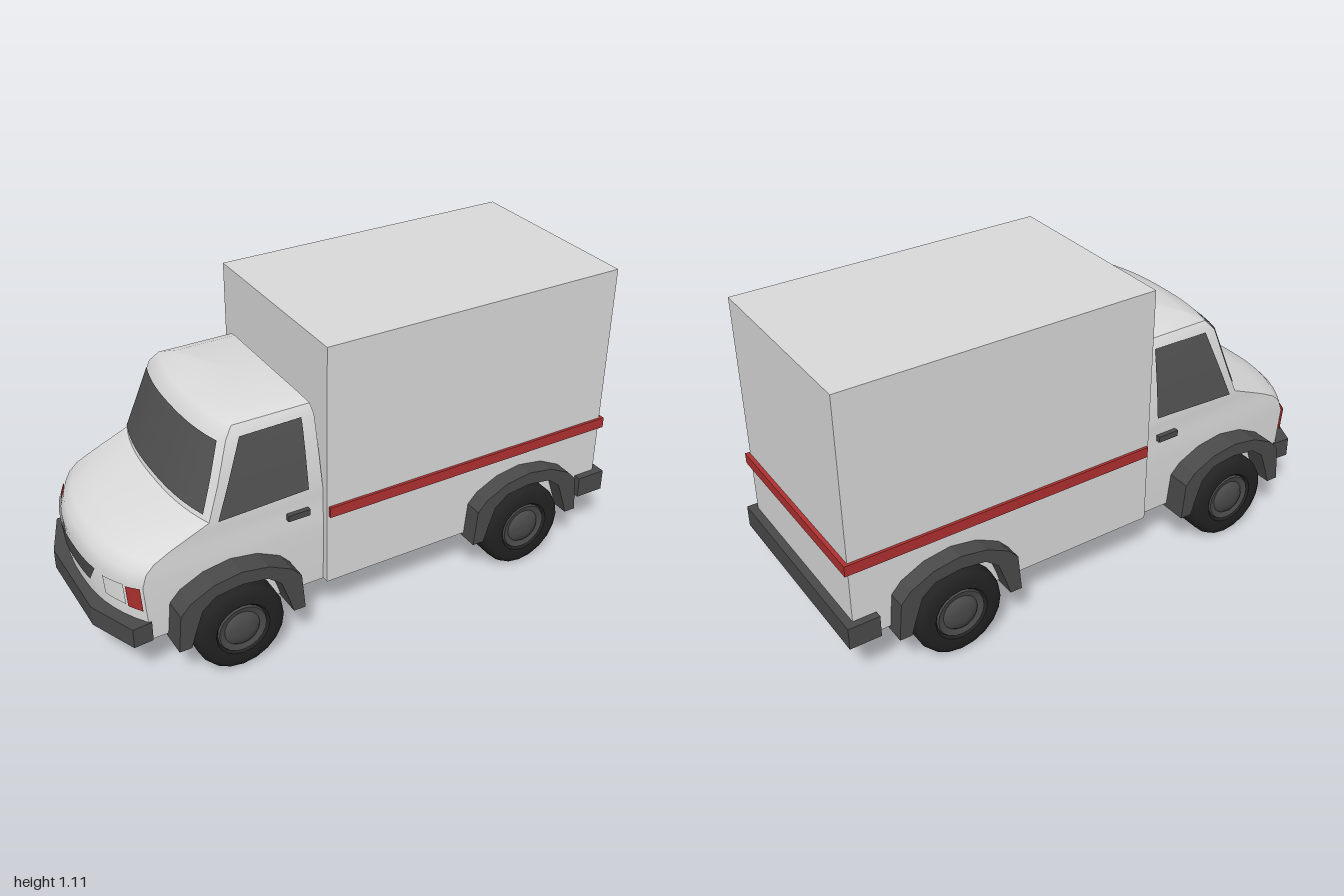
import * as THREE from 'three';
import { toCreasedNormals } from 'three/addons/utils/BufferGeometryUtils.js';

const material = (name, color, side = THREE.FrontSide) => {
  const m = new THREE.MeshStandardMaterial({ color, side });
  m.name = name;
  return m;
};

// Cab cross-sections by height: y, front x, half width, front bulge, rear x
const LEVELS = [
  [0.19, -0.96, 0.345, 0.10, -0.21], [0.41, -0.975, 0.35, 0.10, -0.21],
  [0.455, -0.96, 0.348, 0.10, -0.21], [0.485, -0.93, 0.346, 0.10, -0.21],
  [0.515, -0.86, 0.344, 0.09, -0.21], [0.545, -0.77, 0.344, 0.07, -0.21],
  [0.575, -0.68, 0.344, 0.05, -0.21], [0.70, -0.635, 0.328, 0.05, -0.215],
  [0.84, -0.585, 0.305, 0.045, -0.22], [0.875, -0.55, 0.285, 0.04, -0.225],
  [0.895, -0.49, 0.23, 0.03, -0.24],
];

function levelAt(y) {
  let i = 0;
  while (i < LEVELS.length - 2 && y > LEVELS[i + 1][0]) i++;
  const a = LEVELS[i], b = LEVELS[i + 1], t = (y - a[0]) / (b[0] - a[0]);
  return a.map((v, k) => v + (b[k] - v) * t);
}

// Point on the curved front of the cab, s runs from -1 to 1 across it
const frontPoint = ([y, xf, w, bulge], s) => [xf + bulge * Math.abs(s) ** 2.5, y, s * w];

function fromGrid(points, faces) {
  const g = new THREE.BufferGeometry();
  g.setAttribute('position', new THREE.Float32BufferAttribute(points.flat(), 3));
  g.setIndex(faces);
  return toCreasedNormals(g, 0.7);
}

function cabGeometry() {
  const across = 16, points = [], faces = [], n = across + 3;
  for (const l of LEVELS) {
    points.push([l[4], l[0], -l[2]]);
    for (let j = 0; j <= across; j++) points.push(frontPoint(l, j / across * 2 - 1));
    points.push([l[4], l[0], l[2]]);
  }
  const top = (LEVELS.length - 1) * n, low = points.length;
  points.push([-0.55, 0.19, 0], [-0.36, 0.9, 0]);
  for (let j = 0; j < n; j++) {
    const k = (j + 1) % n;
    for (let i = 0; i < top; i += n) faces.push(i + j, i + k, i + n + k, i + j, i + n + k, i + n + j);
    faces.push(k, j, low, top + j, top + k, low + 1);
  }
  return fromGrid(points, faces);
}

// Thin plate given four corners (bottom a, b, top c, d), mapped onto a surface
function patch([a, b, c, d], map, nu = 12, nv = 6) {
  const points = [], faces = [];
  for (let i = 0; i <= nv; i++) for (let j = 0; j <= nu; j++) {
    const u = j / nu, v = i / nv;
    const p = [0, 1].map(k => (1 - v) * (a[k] + (b[k] - a[k]) * u) + v * (d[k] + (c[k] - d[k]) * u));
    points.push(map(p[0], p[1]));
    if (i < nv && j < nu) {
      const q = i * (nu + 1) + j, r = q + nu + 1;
      faces.push(q, q + 1, r + 1, q, r + 1, r);
    }
  }
  return fromGrid(points, faces);
}

const onFront = (s, y) => {
  const p = frontPoint(levelAt(y), s);
  return [p[0] - 0.007, p[1] + 0.002, p[2] + 0.006 * s];
};

export function createModel() {
  const white = material('white paint', 0xdadada);
  const trim = material('dark grey trim', 0x4a4a4a);
  const glass = material('grey glass', 0x525252, THREE.DoubleSide);
  const rubber = material('black rubber', 0x222222);
  const red = material('red', 0xb03030, THREE.DoubleSide);
  const lamp = material('pale lamp', 0xe4e4e2, THREE.DoubleSide);

  const model = new THREE.Group();
  const add = (name, geometry, mat, parent = model) => {
    const mesh = new THREE.Mesh(geometry, mat);
    mesh.name = name;
    parent.add(mesh);
    return mesh;
  };
  const box = (name, mat, x0, x1, y0, y1, z0, z1) =>
    add(name, new THREE.BoxGeometry(x1 - x0, y1 - y0, z1 - z0), mat)
      .position.set((x0 + x1) / 2, (y0 + y1) / 2, (z0 + z1) / 2);

  // Cargo box with its stripe
  box('cargoBox', white, -0.208, 0.97, 0.19, 1.112, -0.37, 0.37);
  box('stripe', red, -0.2, 0.985, 0.465, 0.505, -0.38, 0.38);

  // Cab, windscreen and grille
  add('cab', cabGeometry(), white);
  add('windscreen', patch([[-0.92, 0.595], [0.92, 0.595], [0.9, 0.83], [-0.9, 0.83]], onFront), glass);
  add('grille', patch([[-0.32, 0.325], [0.32, 0.325], [0.46, 0.4], [-0.46, 0.4]], onFront), trim);

  // Bumpers
  const outline = [[-0.855, -0.352], [-0.925, -0.358], [-1, -0.18], [-1, 0.18], [-0.925, 0.358], [-0.855, 0.352]];
  const bumper = new THREE.ExtrudeGeometry(
    new THREE.Shape(outline.map(p => new THREE.Vector2(...p))), { depth: 0.075, bevelEnabled: false });
  bumper.rotateX(-Math.PI / 2).translate(0, 0.19, 0);
  add('frontBumper', bumper, trim);
  box('rearBumper', trim, 0.885, 1, 0.19, 0.272, -0.397, 0.397);

  // Wheel arch: angular band with a small foot at each end
  const half = [[0.235, 0], [0.222, 0.14], [0.185, 0.18], [0.1, 0.222], [0, 0.238]];
  const inner = [[0, 0.188], [0.095, 0.175], [0.145, 0.135], [0.175, 0.05], [0.19, 0]];
  const arch = new THREE.Shape([
    ...half, ...half.slice(0, 4).reverse().map(([x, y]) => [-x, y]),
    ...inner.slice(1).reverse().map(([x, y]) => [-x, y]), ...inner,
  ].map(p => new THREE.Vector2(...p)));
  const archGeometry = new THREE.ExtrudeGeometry(arch, { depth: 0.195, bevelEnabled: false });
  archGeometry.translate(0, 0, -0.0975);

  // Wheel profiles, turned about z
  const turned = profile => toCreasedNormals(
    new THREE.LatheGeometry(profile.map(p => new THREE.Vector2(...p)), 20).rotateX(Math.PI / 2), 0.7);
  const tyre = turned([[0, -0.07], [0.14, -0.07], [0.158, -0.06], [0.165, -0.04], [0.165, 0.04],
    [0.158, 0.06], [0.14, 0.072], [0.1, 0.07], [0.09, 0.058], [0, 0.058]]);
  const rim = turned([[0.094, 0.055], [0.088, 0.068], [0.066, 0.061], [0.058, 0.07], [0.03, 0.077], [0, 0.078]]);

  for (const side of [1, -1]) {
    const sideName = side > 0 ? 'left' : 'right';
    for (const [x, end] of [[-0.565, 'front'], [0.605, 'rear']]) {
      add(`${end}WheelArch_${sideName}`, archGeometry, trim).position.set(x, 0.175, side * 0.3375);
      const wheel = new THREE.Group();
      wheel.name = `${end}Wheel_${sideName}`;
      wheel.position.set(x, 0.17, side * 0.36);
      if (side < 0) wheel.rotation.y = Math.PI;
      add('tyre', tyre, rubber, wheel);
      add('rim', rim, trim, wheel);
      model.add(wheel);
    }
    // Side window and door handle
    const onSide = (x, y) => [x, y, side * (levelAt(y)[2] + 0.005)];
    add(`sideWindow_${sideName}`,
      patch([[-0.6, 0.572], [-0.265, 0.585], [-0.268, 0.845], [-0.495, 0.842]], onSide), glass);
    box(`doorHandle_${sideName}`, trim, -0.35, -0.267, 0.49, 0.513, side * 0.35 - 0.012, side * 0.35 + 0.012);

    // Headlamp and corner light
    const light = (s0, s1, y0, y1) =>
      patch([[side * s0, y0], [side * s1, y0], [side * s1, y1 + 0.01], [side * s0, y1]], onFront);
    add(`headlamp_${sideName}`, light(0.57, 0.82, 0.32, 0.395), lamp);
    add(`cornerLight_${sideName}`, light(0.84, 0.985, 0.315, 0.4), red);
  }
  return model;
}
